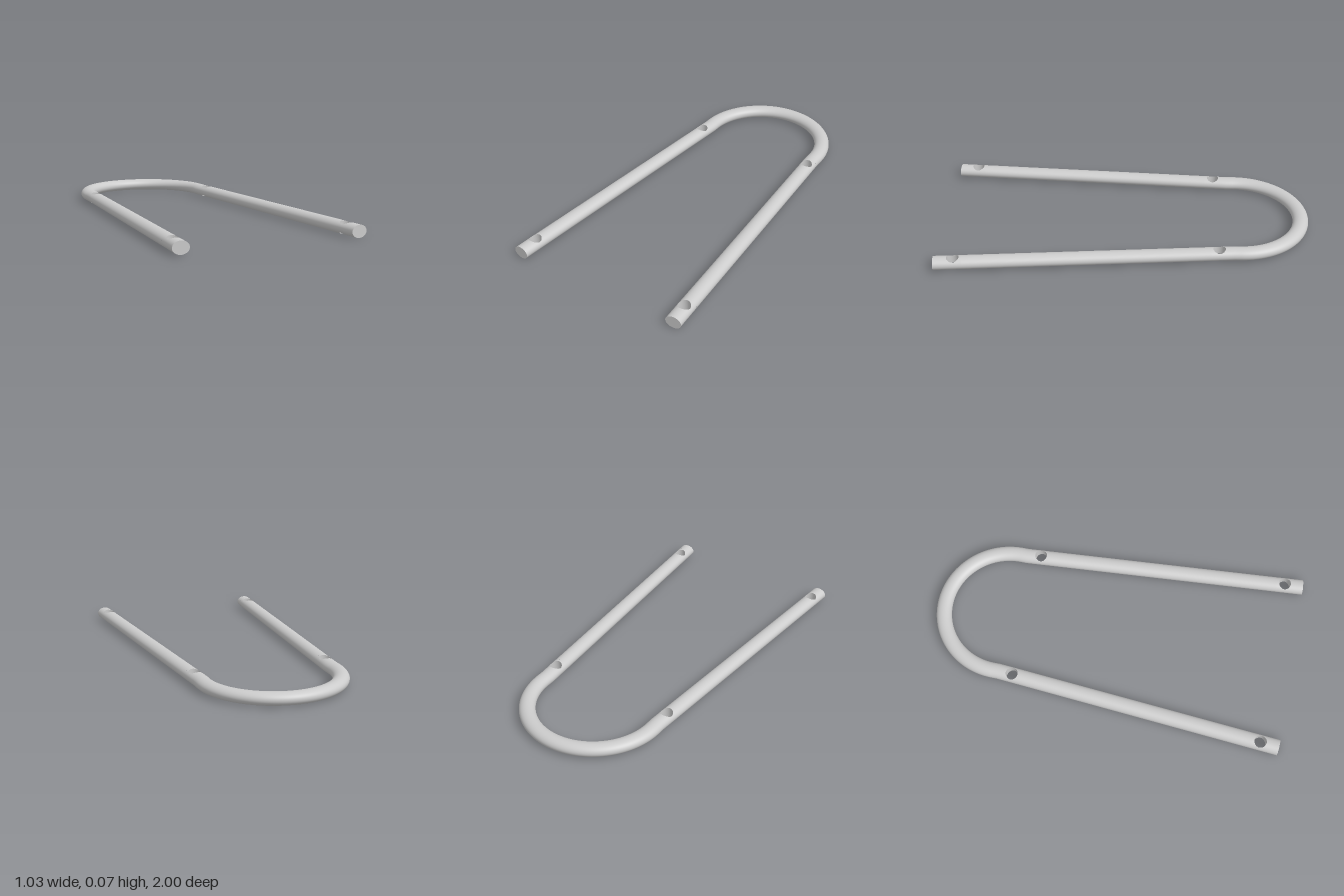
import * as THREE from 'three';

const W = 0.0427, H = 0.033;          // half width and half height of the oval bar
const HOLE = 0.033, B = 0.046;        // hole radius, half length of a pierced block
const R = 0.353, ARC_Z = -0.604;      // centre line of the bend
const AX = 0.359, AZ = -0.49;         // rear hole
const FLARE = 0.0757;                 // outward angle of the legs
const SPAN = 1.389, END = 1.491;      // front hole and leg end, measured from rear hole

const material = new THREE.MeshStandardMaterial({ color: 0xcccccc });

// Surface over a grid; fn(i, j) returns [x, y, z, nx, ny, nz]
function gridMesh(name, rows, cols, fn) {
  const pos = [], nor = [], idx = [];
  for (let i = 0; i <= rows; i++) {
    for (let j = 0; j <= cols; j++) {
      const p = fn(i, j);
      pos.push(p[0], p[1], p[2]);
      const n = new THREE.Vector3(p[3], p[4], p[5]).normalize();
      nor.push(n.x, n.y, n.z);
      if (i < rows && j < cols) {
        const a = i * (cols + 1) + j, c = a + cols + 1;
        idx.push(a, a + 1, c + 1, a, c + 1, c);
      }
    }
  }
  const g = new THREE.BufferGeometry();
  g.setAttribute('position', new THREE.Float32BufferAttribute(pos, 3));
  g.setAttribute('normal', new THREE.Float32BufferAttribute(nor, 3));
  g.setIndex(idx);
  const mesh = new THREE.Mesh(g, material);
  mesh.name = name;
  return mesh;
}

// Oval bar swept through stations [x, z, heading], heading measured from +z towards +x
function bar(name, stations) {
  const sides = 48;
  return gridMesh(name, stations.length - 1, sides, (i, j) => {
    const [x, z, a] = stations[i];
    const t = (j / sides) * Math.PI * 2, c = Math.cos(t), s = Math.sin(t);
    const lx = Math.cos(a), lz = -Math.sin(a);
    return [x + lx * W * c, H * s, z + lz * W * c, lx * c / W, s / H, lz * c / W];
  });
}

// Short length of oval bar with a vertical hole through it
function piercedBlock(name, z0) {
  const n = 16, total = 4 * n, steps = 8;
  const height = x => H * Math.sqrt(Math.max(0, 1 - (x / W) ** 2));
  const outline = k => {
    const side = Math.floor(k / n) % 4, f = 2 * (k % n) / n - 1;
    const e = W * Math.sin(f * Math.PI / 2);
    return [[W, f * B], [-e, B], [-W, -f * B], [e, -B]][side];
  };
  const rim = k => {
    const [x, z] = outline(k), a = Math.atan2(z, x);
    return [HOLE * Math.cos(a), HOLE * Math.sin(a)];
  };
  const skin = (label, sign) => gridMesh(label, steps, total, (i, j) => {
    const k = sign > 0 ? j : total - j;
    const v = Math.sin((i / steps) * Math.PI / 2);
    const o = outline(k), r = rim(k);
    const x = r[0] + (o[0] - r[0]) * v, z = r[1] + (o[1] - r[1]) * v;
    const y = sign * height(x);
    return [x, y, z, x / (W * W), y / (H * H), 0];
  });
  const wall = gridMesh('holeWall', 1, total, (i, j) => {
    const [x, z] = rim(j);
    return [x, (i ? 1 : -1) * height(x), z, -x, 0, -z];
  });
  const group = new THREE.Group();
  group.name = name;
  group.position.z = z0;
  group.add(skin('holeTop', 1), skin('holeUnderside', -1), wall);
  return group;
}

// Straight leg, built along +z from the rear hole
function leg(name, side) {
  const group = new THREE.Group();
  group.name = name;
  const cap = new THREE.Mesh(new THREE.CircleGeometry(1, 48).scale(W, H, 1), material);
  cap.name = 'legEnd';
  cap.position.z = END;
  group.add(
    piercedBlock('rearHole', 0),
    bar('legBar', [[0, B, 0], [0, SPAN - B, 0]]),
    piercedBlock('frontHole', SPAN),
    bar('legTip', [[0, SPAN + B, 0], [0, END, 0]]),
    cap
  );
  group.position.set(side * AX, 0, AZ);
  group.rotation.y = side * FLARE;
  return group;
}

// Rounded bend that joins the two legs
function bend() {
  const x = AX - B * Math.sin(FLARE), z = AZ - B * Math.cos(FLARE);
  const stations = [[x, z, Math.PI + FLARE], [R, -0.57, Math.PI + FLARE / 2]];
  const n = 64;
  for (let i = 0; i <= n; i++) {
    const t = (i / n) * Math.PI;
    stations.push([R * Math.cos(t), ARC_Z - R * Math.sin(t), Math.PI + t]);
  }
  stations.push([-R, -0.57, -FLARE / 2], [-x, z, -FLARE]);
  return bar('bend', stations);
}

export function createModel() {
  const model = new THREE.Group();
  model.name = 'uShapedBar';
  model.add(bend(), leg('leftLeg', 1), leg('rightLeg', -1));
  model.position.y = H;
  return model;
}
